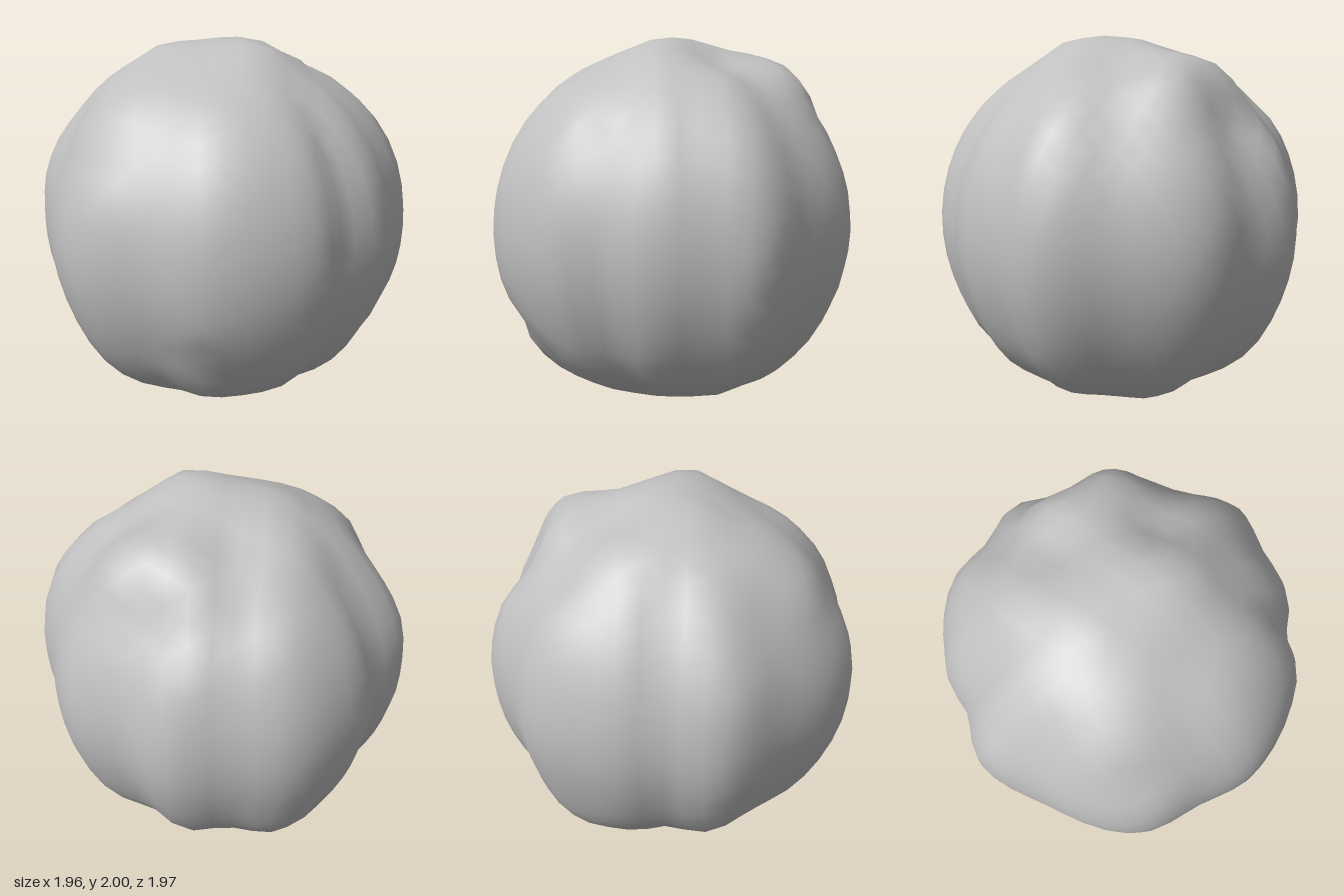
import * as THREE from 'three';
import { mergeVertices } from 'three/addons/utils/BufferGeometryUtils.js';

// Ridges and grooves around the middle: [azimuth from +x towards +z in degrees, radius]
const LOBES = [
  [-81, 1.0], [-64, 0.95], [-48, 1.0], [-30, 0.93], [-12, 0.99], [14, 0.945], [37, 1.03], [52, 0.97],
  [67, 0.98], [81, 0.925], [95, 0.99], [125, 1.0], [145, 0.95], [165, 1.0], [198, 0.935],
  [220, 0.98], [238, 0.905], [252, 0.96],
];

// Local swellings and dents: [x, y, z, height, angular width]
const BUMPS = [
  // crown and the knob beside it
  [0.1, 1, 0.05, 0.035, 0.22], [0.45, 0.83, -0.3, 0.07, 0.22], [0.65, 0.78, -0.12, 0.06, 0.18],
  [0.15, 0.92, -0.36, -0.06, 0.13], [0.58, 0.62, -0.55, -0.045, 0.14], [0.35, 0.92, 0.13, -0.045, 0.13],
  [0.08, 0.94, 0.3, 0.05, 0.17],
  // upper left and back
  [-0.25, 0.97, -0.15, 0.04, 0.15], [-0.58, 0.8, -0.15, 0.03, 0.2], [-0.78, 0.63, 0, 0.03, 0.15],
  [-0.82, 0.5, 0.24, -0.03, 0.14], [-0.3, 0.87, 0.4, -0.025, 0.16], [-0.15, 0.87, -0.5, 0.04, 0.2],
  [0.19, 0.7, -0.68, -0.035, 0.13], [-0.74, 0.3, -0.55, 0.02, 0.2],
  // crease above a small swelling at the lower front, and the lower back
  [-0.53, -0.47, 0.71, -0.04, 0.09], [-0.38, -0.6, 0.7, -0.045, 0.09], [-0.5, -0.68, 0.54, 0.015, 0.14],
  [0, -0.64, -0.77, 0.03, 0.25],
  // underside
  [-0.05, -1, -0.1, 0.035, 0.2], [0.2, -0.97, 0.08, 0.025, 0.15], [0.56, -0.82, 0, 0.03, 0.18],
  [-0.3, -0.9, 0.15, -0.015, 0.15],
].map(([x, y, z, h, w]) => ({ dir: new THREE.Vector3(x, y, z).normalize(), h, w }));

// Smoothly interpolated middle radius at an azimuth
function lobeRadius(deg) {
  const a = THREE.MathUtils.euclideanModulo(deg + 81, 360) - 81;
  let i = LOBES.length - 1;
  while (i > 0 && LOBES[i][0] > a) i--;
  const [a0, r0] = LOBES[i];
  const [a1, r1] = i + 1 < LOBES.length ? LOBES[i + 1] : [LOBES[0][0] + 360, LOBES[0][1]];
  return THREE.MathUtils.lerp(r0, r1, THREE.MathUtils.smoothstep(a, a0, a1));
}

// Lobes fade out towards the top and bottom, where the single bumps take over
function surfaceRadius(d) {
  const around = THREE.MathUtils.radToDeg(Math.atan2(d.z, d.x));
  const fade = THREE.MathUtils.smoothstep(Math.hypot(d.x, d.z), 0.3, 0.95);
  const belly = 0.022 * Math.exp(-(((d.y + 0.68) / 0.2) ** 2));
  let r = THREE.MathUtils.lerp(0.965, lobeRadius(around), fade) + belly;
  for (const b of BUMPS) {
    const t = d.angleTo(b.dir) / b.w;
    r += b.h * Math.exp(-t * t);
  }
  return r;
}

export function createModel() {
  const group = new THREE.Group();
  group.name = 'lumpyBoulder';

  let geo = new THREE.IcosahedronGeometry(1, 9);
  geo.deleteAttribute('uv');
  geo.deleteAttribute('normal');
  geo = mergeVertices(geo, 1e-4);

  // Push each point in or out along its own direction
  const pos = geo.attributes.position;
  const d = new THREE.Vector3();
  for (let i = 0; i < pos.count; i++) {
    d.fromBufferAttribute(pos, i).normalize();
    d.multiplyScalar(surfaceRadius(d));
    pos.setXYZ(i, d.x, d.y + 1, d.z);
  }
  geo.computeVertexNormals();

  const stone = new THREE.MeshStandardMaterial({ color: 0xc0c0c0 });
  stone.name = 'grey stone';
  const boulder = new THREE.Mesh(geo, stone);
  boulder.name = 'boulder';
  group.add(boulder);
  return group;
}
